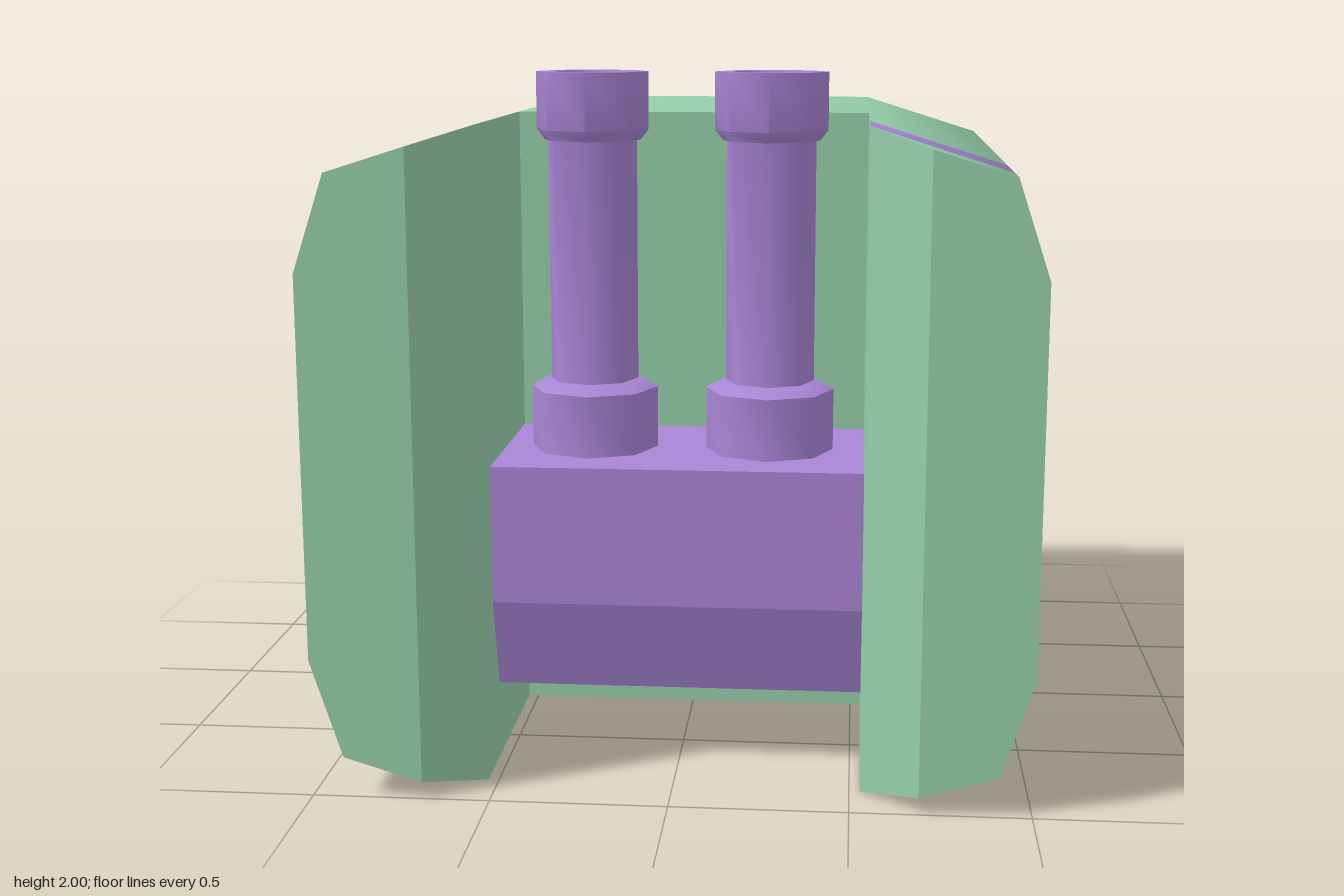
import * as THREE from 'three';
import { toCreasedNormals } from 'three/addons/utils/BufferGeometryUtils.js';

const mat = (name, color, side = THREE.FrontSide) => {
  const m = new THREE.MeshStandardMaterial({ color, side });
  m.name = name;
  return m;
};

function addMesh(parent, name, geometry, material) {
  const m = new THREE.Mesh(geometry, material);
  m.name = name;
  parent.add(m);
  return m;
}

// Body cross-section: right-hand half from bottom to top, then mirrored
const half = [[0.53, 0.005], [0.91, 0.12], [1, 0.4], [1, 1.48], [0.91, 1.75], [0.53, 1.87]];
const outline = [...half, ...half.map(([x, y]) => [-x, y]).reverse()];
const N = outline.length;

// Averaged normal at each corner, for soft bends
const edgeNormal = (i) => {
  const a = outline[i % N], b = outline[(i + 1) % N];
  return new THREE.Vector2(b[1] - a[1], a[0] - b[0]).normalize();
};
const normals = outline.map((_, i) => edgeNormal(i + N - 1).add(edgeNormal(i)).normalize());

// Corner position at depth z; the inner corners are cut back at the front
function corner(i, z) {
  let [x, y] = outline[i];
  if (z === 1 && Math.abs(x) === 0.53) {
    x = Math.sign(x) * 0.69;
    y = y > 1 ? 1.82 : 0.053;
  }
  return [x, y, z];
}

// Strip of the outer skin between two depths
function skin(z0, z1, open) {
  const pos = [], nor = [];
  for (let i = 0; i < N; i++) {
    const j = (i + 1) % N;
    if (open && outline[i][0] * outline[j][0] < 0) continue; // notch gap
    const quad = [[i, z0], [j, z0], [j, z1], [i, z0], [j, z1], [i, z1]];
    for (const [k, z] of quad) {
      pos.push(...corner(k, z));
      nor.push(normals[k].x, normals[k].y, 0);
    }
  }
  const g = new THREE.BufferGeometry();
  g.setAttribute('position', new THREE.Float32BufferAttribute(pos, 3));
  g.setAttribute('normal', new THREE.Float32BufferAttribute(nor, 3));
  return g;
}

// Upright walls lining the notch
function notchWalls() {
  const plan = [[-0.69, 1], [-0.53, 0.85], [-0.53, 0.15], [0.53, 0.15], [0.53, 0.85], [0.69, 1]];
  const pos = [];
  for (let i = 0; i < plan.length - 1; i++) {
    const at = ([x, z], top) => [x, top ? (z === 1 ? 1.82 : 1.87) : (z === 1 ? 0.053 : 0.005), z];
    const a = plan[i], b = plan[i + 1];
    pos.push(...at(a, 0), ...at(b, 0), ...at(b, 1), ...at(a, 0), ...at(b, 1), ...at(a, 1));
  }
  const g = new THREE.BufferGeometry();
  g.setAttribute('position', new THREE.Float32BufferAttribute(pos, 3));
  g.computeVertexNormals();
  return g;
}

const flatFace = (points) =>
  new THREE.ShapeGeometry(new THREE.Shape(points.map(([x, y]) => new THREE.Vector2(x, y))));

// Side profile (z, y) extruded across the width of the notch
function crossBar(profile) {
  const shape = new THREE.Shape(profile.map(([z, y]) => new THREE.Vector2(z, y)));
  const g = new THREE.ExtrudeGeometry(shape, { depth: 1.058, bevelEnabled: false });
  return g.rotateY(-Math.PI / 2).translate(0.529, 0, 0);
}

export function createModel() {
  const green = mat('green', 0x95cfaa);
  const purple = mat('purple', 0xaa86d6);
  const greyPurple = mat('grey purple', 0xa08fb2);
  const model = new THREE.Group();
  model.name = 'model';

  // Housing
  const body = new THREE.Group();
  body.name = 'body';
  model.add(body);
  addMesh(body, 'rearShell', skin(-1, 0.15, false), green);
  addMesh(body, 'sideShell', skin(0.15, 0.595, true), green);
  addMesh(body, 'colourBand', skin(0.595, 0.85, true), purple);
  addMesh(body, 'frontShell', skin(0.85, 1, true), green);
  addMesh(body, 'notchWalls', notchWalls(), green);
  addMesh(body, 'backFace', flatFace(outline).rotateY(Math.PI).translate(0, 0, -1), green);
  for (const side of [1, -1]) {
    const face = half.map((_, i) => corner(i, 1)).map(([x, y]) => [side * x, y]);
    addMesh(body, side > 0 ? 'leftFrontFace' : 'rightFrontFace', flatFace(face).translate(0, 0, 1), green);
  }

  // Block held inside the notch
  addMesh(model, 'block', crossBar([[0.15, 0.9], [0.15, 0.23], [0.66, 0.23], [0.74, 0.5], [0.74, 0.9]]), purple);
  addMesh(model, 'blockUnderside', crossBar([[0.15, 0.23], [0.15, 0.12], [0.66, 0.23]]), greyPurple);

  // Two hollow-headed posts
  const profile = [
    [0.187, 0.9], [0.187, 1.08], [0.145, 1.105], [0.129, 1.105], [0.129, 1.805], [0.14, 1.805],
    [0.163, 1.835], [0.163, 2], [0.116, 2], [0.085, 1.88], [0, 1.88],
  ].map(([r, y]) => new THREE.Vector2(r, y));
  const post = toCreasedNormals(new THREE.LatheGeometry(profile, 8), 0.85);
  for (const [name, x] of [['rightPost', -0.268], ['leftPost', 0.25]]) {
    addMesh(model, name, post, purple).position.set(x, 0, 0.43);
  }
  return model;
}
